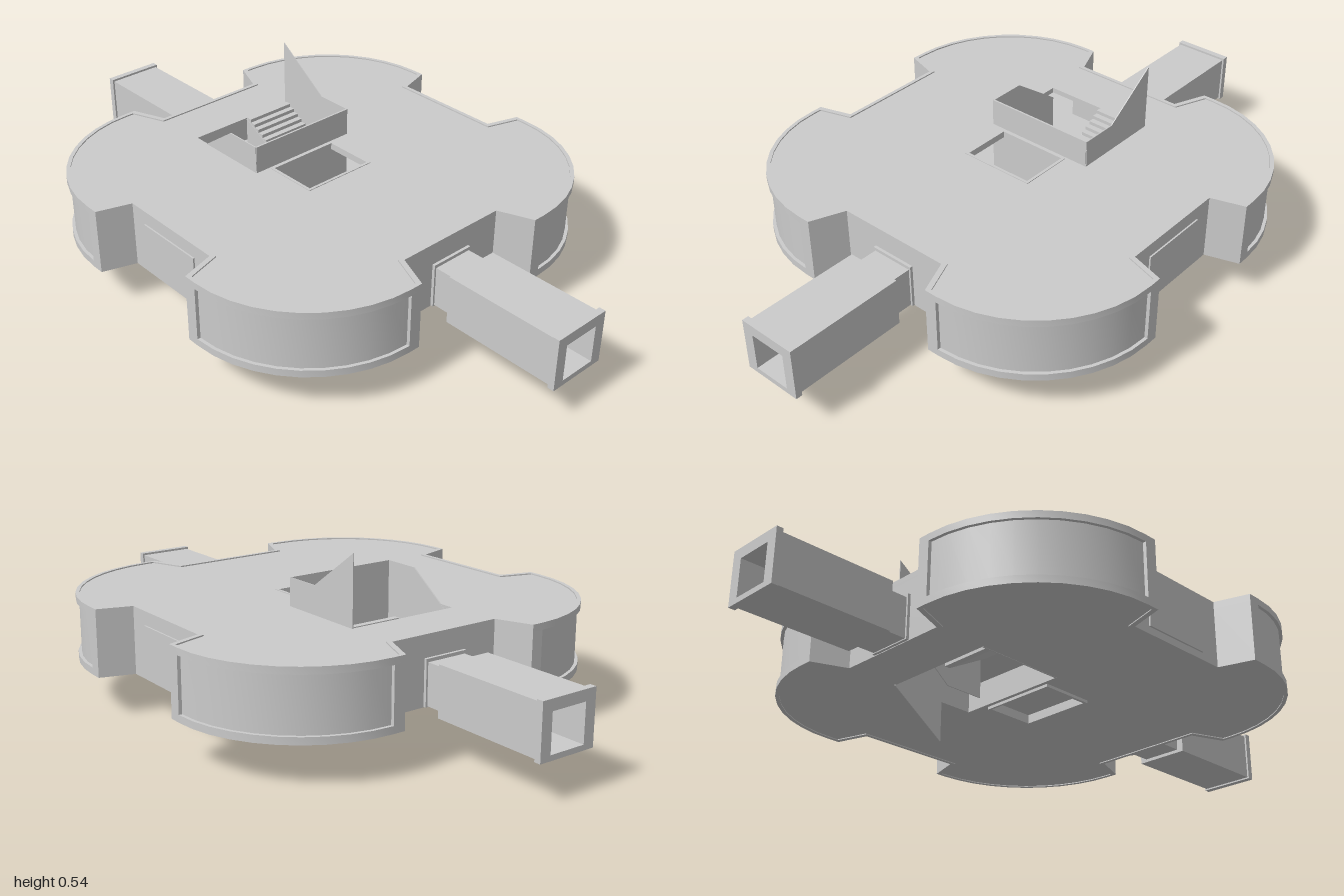
import * as THREE from 'three';
import { toCreasedNormals } from 'three/addons/utils/BufferGeometryUtils.js';

const material = new THREE.MeshStandardMaterial({ color: 0xcccccc, side: THREE.DoubleSide });

function add(parent, name, geometry) {
  const mesh = new THREE.Mesh(geometry, material);
  mesh.name = name;
  parent.add(mesh);
  return mesh;
}

// Box given by its limits on each axis
function box(parent, name, x0, x1, y0, y1, z0, z1) {
  const mesh = add(parent, name, new THREE.BoxGeometry(x1 - x0, y1 - y0, z1 - z0));
  mesh.position.set((x0 + x1) / 2, (y0 + y1) / 2, (z0 + z1) / 2);
  return mesh;
}

const polygon = (pts) => pts.map(([x, y]) => new THREE.Vector2(x, y));
const rect = (x0, x1, y0, y1) => polygon([[x0, y0], [x1, y0], [x1, y1], [x0, y1]]);

// Four-lobed plan: wall inset d, extra lobe inset e between the window posts
function outline(d = 0, e = 0) {
  const quarter = [[0.18 + d, 0.56 - d], [0.212 + d, 0.665 - d]];
  const arc = (t, r) => quarter.push([0.25 + r * Math.sin(t), 0.265 + r * Math.cos(t)]);
  const steps = 10, end = Math.PI / 2;
  arc(0, 0.4 - d);
  for (let i = 0; i <= steps; i++) arc(0.002 + (i / steps) * (end - 0.004), 0.4 - d - e);
  arc(end, 0.4 - d);
  quarter.push([0.65 - d, 0.228 + d], [0.543 - d, 0.185 + d]);
  const pts = [];
  for (const [sx, sz] of [[1, 1], [1, -1], [-1, -1], [-1, 1]]) {
    const q = quarter.map(([x, z]) => [x * sx, z * sz]);
    pts.push(...(sx * sz < 0 ? q.reverse() : q));
  }
  return polygon(pts);
}

// Horizontal plate from a plan with holes, where shape y is -z
function plate(parent, name, pts, holes, y0, y1) {
  const shape = new THREE.Shape(pts);
  holes.forEach((h) => shape.holes.push(new THREE.Path(h)));
  const geo = new THREE.ExtrudeGeometry(shape, { depth: y1 - y0, bevelEnabled: false });
  geo.rotateX(-Math.PI / 2).translate(0, y0, 0);
  return add(parent, name, toCreasedNormals(geo, 0.4));
}

// Upright panel in the xy plane, from z0 to z1
function panel(parent, name, pts, z0, z1) {
  const geo = new THREE.ExtrudeGeometry(new THREE.Shape(polygon(pts)), { depth: z1 - z0, bevelEnabled: false });
  return add(parent, name, geo.translate(0, 0, z0));
}

// Flight of steps with a sloping underside
function flight(parent, name, xa, ya, xb, yb, z0, z1) {
  const n = 9, dx = (xb - xa) / n, dy = (yb - ya) / n;
  const pts = [[xa, ya]];
  for (let i = 0; i < n; i++) {
    pts.push([xa + i * dx, ya + (i + 1) * dy], [xa + (i + 1) * dx, ya + (i + 1) * dy]);
  }
  pts.push([xb, yb - 0.025], [xa + dx, ya]);
  return panel(parent, name, pts, z0, z1);
}

// Rectangular tube along x
function tube(parent, name, x0, x1, outer, inner) {
  const shape = new THREE.Shape(rect(...outer));
  shape.holes.push(new THREE.Path(rect(...inner)));
  const geo = new THREE.ExtrudeGeometry(shape, { depth: x1 - x0, bevelEnabled: false });
  return add(parent, name, geo.rotateY(Math.PI / 2).translate(x0, 0, 0));
}

export function createModel() {
  const model = new THREE.Group();
  model.name = 'building';
  const wells = [rect(-0.372, -0.078, -0.18, 0.188), rect(-0.068, 0.1, -0.13, 0.11)];

  // Storey shell: floor, roof, recessed curved windows and slim rims
  plate(model, 'floor', outline(0.004), wells, 0.128, 0.147);
  plate(model, 'roof', outline(0.004), wells, 0.311, 0.328);
  plate(model, 'outerWall', outline(0, 0.01), [outline(0.025)], 0.147, 0.311);
  plate(model, 'floorRim', outline(), [outline(0.012)], 0.125, 0.147);
  plate(model, 'roofRim', outline(), [outline(0.012)], 0.311, 0.332);

  // Flat panels on the front and back walls
  for (const s of [-1, 1]) {
    box(model, 'wallPanel', -0.12, 0.11, 0.147, 0.29, s * 0.561 - 0.004, s * 0.561 + 0.004);
  }

  // Light court edging above and below
  const courtHole = [rect(-0.063, 0.095, -0.125, 0.105)];
  plate(model, 'courtRoofEdge', rect(-0.07, 0.104, -0.134, 0.114), courtHole, 0.309, 0.33);
  plate(model, 'courtFloorEdge', rect(-0.07, 0.104, -0.134, 0.114), courtHole, 0.119, 0.147);

  // Two-flight stair with a half landing
  const stair = new THREE.Group();
  stair.name = 'stair';
  model.add(stair);
  flight(stair, 'lowerFlight', -0.36, 0.127, -0.2, 0.23, 0.014, 0.18);
  flight(stair, 'upperFlight', -0.2, 0.23, -0.37, 0.33, -0.186, -0.018);
  box(stair, 'landing', -0.2, -0.08, 0.21, 0.23, -0.186, 0.18);
  box(stair, 'landingEndWall', -0.084, -0.078, 0.127, 0.415, -0.186, 0.182);
  panel(stair, 'frontStairWall',
    [[-0.372, 0.127], [-0.08, 0.127], [-0.08, 0.415], [-0.2, 0.415], [-0.372, 0.292]], 0.179, 0.183);
  panel(stair, 'backStairWall',
    [[-0.375, 0.125], [-0.195, 0], [-0.195, 0.127], [-0.08, 0.127], [-0.08, 0.415], [-0.2, 0.415], [-0.378, 0.54]],
    -0.188, -0.185);
  panel(stair, 'innerStairWall', [[-0.37, 0.13], [-0.32, 0.09], [-0.195, 0.09], [-0.195, 0.23], [-0.37, 0.325]],
    -0.019, -0.016);

  // Connecting passages at both sides
  for (const side of [0, 1]) {
    const passage = new THREE.Group();
    passage.name = side ? 'rightPassage' : 'leftPassage';
    passage.rotation.y = side * Math.PI;
    model.add(passage);
    const opening = [-0.059, 0.059, 0.131, 0.245];
    box(passage, 'neck', 0.53, 0.63, 0.13, 0.255, -0.066, 0.066);
    box(passage, 'neckCollar', 0.541, 0.552, 0.127, 0.265, -0.072, 0.072);
    tube(passage, 'passageBody', 0.62, 0.985, [-0.088, 0.088, 0.12, 0.271], opening);
    tube(passage, 'endCollar', 0.98, 1, [-0.094, 0.094, 0.115, 0.278], opening);
  }
  return model;
}
